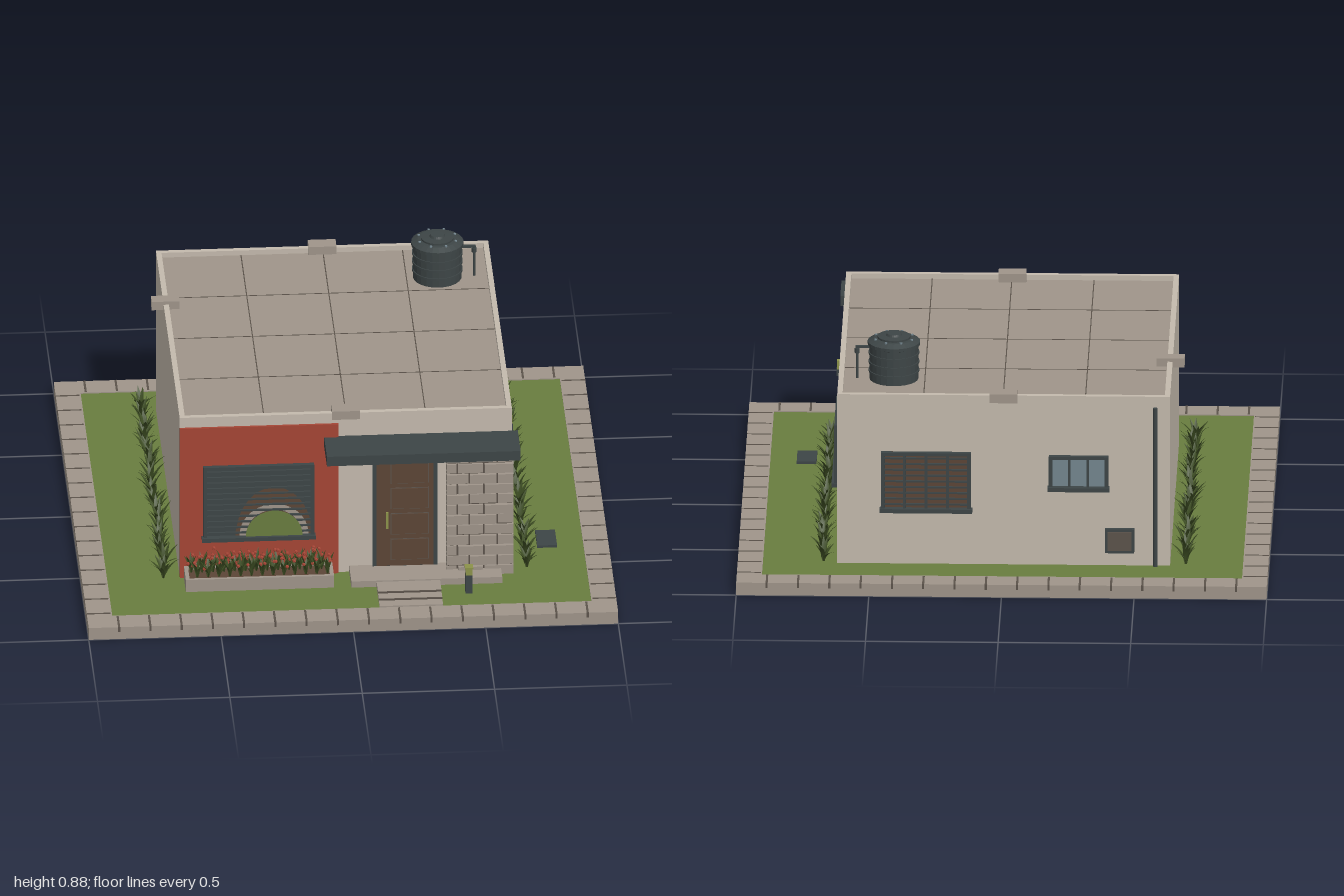
import * as THREE from 'three';
import { mergeGeometries } from 'three/addons/utils/BufferGeometryUtils.js';

const paint = (name, color, side = THREE.FrontSide) => {
  const m = new THREE.MeshStandardMaterial({ color, side });
  m.name = name;
  return m;
};

export function createModel() {
  const wall = paint('plaster', 0xc4baad);
  const stone = paint('stone', 0x9f958a);
  const joint = paint('joint', 0x5c534b);
  const red = paint('red', 0xa54535);
  const slate = paint('slate', 0x3d4546);
  const brown = paint('brown', 0x5c4536);
  const grass = paint('grass', 0x697d3f);
  const leaf = paint('leaf', 0x3c4c22, THREE.DoubleSide);
  const glass = paint('glass', 0x74868f);
  const glow = paint('lampGlass', 0x8c934a);

  let seed = 7;
  const rand = (a, b) => {
    seed = (seed * 16807) % 2147483647;
    return a + (b - a) * seed / 2147483647;
  };

  const model = new THREE.Group();
  const group = (name, parent = model) => {
    const g = new THREE.Group();
    g.name = name;
    parent.add(g);
    return g;
  };
  const add = (parent, name, geo, mat, x = 0, y = 0, z = 0) => {
    const m = new THREE.Mesh(geo, mat);
    m.name = name;
    m.position.set(x, y, z);
    parent.add(m);
    return m;
  };
  // Box given by its lower and upper bounds
  const box = (parent, name, mat, x0, x1, y0, y1, z0, z1) =>
    add(parent, name, new THREE.BoxGeometry(x1 - x0, y1 - y0, z1 - z0), mat,
      (x0 + x1) / 2, (y0 + y1) / 2, (z0 + z1) / 2);
  const cyl = (parent, name, mat, r0, r1, h, x, y, z, n = 24) =>
    add(parent, name, new THREE.CylinderGeometry(r1, r0, h, n), mat, x, y + h / 2, z);

  // Plot: slab, lawn and kerb stones
  const plot = group('plot');
  box(plot, 'foundation', stone, -1, 1, 0, 0.042, -1, 1);
  box(plot, 'lawn', grass, -0.905, 0.905, 0.04, 0.046, -0.905, 0.905);
  for (let side = 0; side < 4; side++) {
    const kerb = group('kerb', plot);
    kerb.rotation.y = side * Math.PI / 2;
    box(kerb, 'kerbStones', stone, -1, 0.905, 0.04, 0.05, 0.905, 1);
    for (let i = 0; i < 16; i++) {
      const x = -0.885 + i * 0.118;
      box(kerb, 'kerbJoint', joint, x - 0.004, x + 0.004, 0.03, 0.051, 0.91, 1.0005);
    }
  }
  box(plot, 'drainCover', slate, 0.73, 0.805, 0.045, 0.056, 0.33, 0.455);

  // House body, parapet and roof panels
  const house = group('house');
  box(house, 'walls', wall, -0.63, 0.625, 0.04, 0.695, -0.76, 0.6);
  box(house, 'roof', stone, -0.61, 0.605, 0.69, 0.702, -0.74, 0.58);
  for (const [a, b] of [[-0.63, -0.61], [0.605, 0.625]])
    box(house, 'sideParapet', wall, a, b, 0.695, 0.722, -0.76, 0.6);
  for (const [a, b] of [[-0.76, -0.74], [0.58, 0.6]])
    box(house, 'endParapet', wall, -0.61, 0.605, 0.695, 0.722, a, b);
  for (const x of [-0.31, 0, 0.3])
    box(house, 'roofJoint', joint, x - 0.002, x + 0.002, 0.7, 0.703, -0.74, 0.58);
  for (const z of [-0.41, -0.08, 0.25])
    box(house, 'roofJoint', joint, -0.61, 0.605, 0.7, 0.703, z - 0.002, z + 0.002);
  box(house, 'redPanel', red, -0.63, -0.03, 0.045, 0.68, 0.6, 0.61);
  for (const b of [[-0.055, 0.05, 0.7, 0.735, 0.55, 0.612],
    [-0.055, 0.05, 0.7, 0.735, -0.785, -0.725], [-0.675, -0.57, 0.7, 0.735, -0.37, -0.32]])
    box(house, 'roofSpout', stone, ...b);

  // Window facing local +z, its bottom centre at the local origin
  const windowUnit = (name, w, h, panes, slats, backing, x, y, z, turn) => {
    const g = group(name, house);
    g.position.set(x, y, z);
    g.rotation.y = turn;
    box(g, 'pane', backing, -w / 2, w / 2, 0, h, 0, 0.006);
    for (const s of [-1, 1])
      box(g, 'jamb', slate, s * w / 2 - 0.007, s * w / 2 + 0.007, 0, h, 0, 0.02);
    box(g, 'head', slate, -w / 2, w / 2, h - 0.012, h, 0, 0.02);
    box(g, 'sill', slate, -w / 2 - 0.012, w / 2 + 0.012, -0.008, 0.008, 0, 0.03);
    for (let i = 1; i < panes; i++) {
      const px = -w / 2 + i * w / panes;
      box(g, 'mullion', slate, px - 0.005, px + 0.005, 0, h, 0, 0.018);
    }
    for (let i = 1; i <= slats; i++) {
      const sy = i * h / (slats + 1);
      box(g, 'slat', slate, -w / 2, w / 2, sy - 0.003, sy + 0.003, 0.01, 0.018);
    }
    return g;
  };
  const front = windowUnit('frontWindow', 0.405, 0.305, 1, 12, slate, -0.333, 0.215, 0.608, 0);
  // Arched picture behind the slats
  const arch = (name, mat, r0, r1, z) => {
    const s = new THREE.Shape();
    s.absarc(0, 0, r1, 0, Math.PI);
    if (r0) s.absarc(0, 0, r0, Math.PI, 0, true);
    add(front, name, new THREE.ShapeGeometry(s, 24), mat, 0.058, 0.008, z);
  };
  arch('archSurround', brown, 0.128, 0.142, 0.0075);
  arch('archCrown', brown, 0.142, 0.146, 0.0078);
  const halo = new THREE.Shape();
  halo.absellipse(0, 0, 0.143, 0.2, 0, Math.PI);
  add(front, 'archBackdrop', new THREE.ShapeGeometry(halo, 24), brown, 0.058, 0.008, 0.007);
  arch('archStones', stone, 0.105, 0.13, 0.0085);
  arch('archOpening', grass, 0, 0.107, 0.0188);

  windowUnit('sideWindow', 0.31, 0.24, 3, 0, glass, 0.624, 0.25, -0.302, Math.PI / 2);
  windowUnit('rearWindow', 0.325, 0.23, 4, 9, brown, 0.29, 0.265, -0.759, Math.PI);
  windowUnit('smallRearWindow', 0.21, 0.13, 3, 0, glass, -0.285, 0.355, -0.759, Math.PI);

  // Rear meter box and downpipe
  box(house, 'meterBox', slate, -0.495, -0.385, 0.1, 0.195, -0.778, -0.76);
  box(house, 'meterDoor', joint, -0.485, -0.395, 0.11, 0.185, -0.781, -0.777);
  cyl(house, 'downpipe', slate, 0.009, 0.009, 0.635, -0.575, 0.045, -0.77, 10);

  // Door with frame, panels and handle
  const door = group('door');
  box(door, 'doorFrame', slate, 0.098, 0.342, 0.07, 0.552, 0.598, 0.612);
  box(door, 'doorLeaf', brown, 0.112, 0.328, 0.075, 0.538, 0.605, 0.617);
  for (let i = 0; i < 4; i++) {
    const y = 0.1 + i * 0.108;
    box(door, 'panelGroove', joint, 0.165, 0.31, y, y + 0.09, 0.616, 0.618);
    box(door, 'doorPanel', brown, 0.168, 0.307, y + 0.003, y + 0.087, 0.616, 0.621);
  }
  box(door, 'handle', glow, 0.147, 0.156, 0.24, 0.31, 0.628, 0.635);
  for (const y of [0.25, 0.295]) box(door, 'handleStem', glow, 0.148, 0.155, y, y + 0.008, 0.615, 0.63);

  // Stone pillar in staggered courses
  const pillar = group('stonePillar');
  box(pillar, 'mortarCore', joint, 0.378, 0.622, 0.045, 0.565, 0.6, 0.652);
  const rows = 12, rowH = 0.52 / rows;
  for (let r = 0; r < rows; r++) {
    const cut = r % 2 ? [0.375, 0.46, 0.565, 0.627] : [0.375, 0.415, 0.515, 0.627];
    for (let i = 0; i < 3; i++)
      box(pillar, 'pillarStone', stone, cut[i] + (i ? 0.003 : 0), cut[i + 1] - (i < 2 ? 0.003 : 0),
        0.045 + r * rowH + 0.003, 0.045 + (r + 1) * rowH - 0.003, 0.6, rand(0.656, 0.668));
  }

  // Canopy with brackets and a hanging lamp
  const canopy = group('canopy');
  box(canopy, 'canopySlab', slate, -0.085, 0.647, 0.585, 0.625, 0.598, 0.767);
  for (const x of [0.045, 0.535]) {
    box(canopy, 'bracketPost', slate, x - 0.005, x + 0.005, 0.525, 0.585, 0.6, 0.612);
    const arm = box(canopy, 'bracketArm', slate, x - 0.004, x + 0.004, 0.551, 0.559, 0.6, 0.69);
    arm.rotation.x = -0.55;
  }
  box(canopy, 'porchLampCap', slate, 0.207, 0.233, 0.565, 0.587, 0.615, 0.645);
  box(canopy, 'porchLamp', glow, 0.209, 0.231, 0.525, 0.565, 0.617, 0.643);

  // Porch and steps
  const porch = group('porch');
  box(porch, 'porchSlab', stone, 0.01, 0.58, 0.045, 0.072, 0.6, 0.73);
  for (let i = 0; i < 3; i++)
    box(porch, 'step', stone, 0.105, 0.345, 0.04, 0.067 - i * 0.006, 0.73, 0.81 + i * 0.047);
  for (let i = 0; i < 2; i++)
    box(porch, 'stepEdge', joint, 0.105, 0.345, 0.06 - i * 0.006, 0.0675 - i * 0.006, 0.809 + i * 0.047, 0.813 + i * 0.047);

  // Wall lamp and garden lamp
  const lamps = group('lamps');
  box(lamps, 'wallLampBase', slate, 0.624, 0.652, 0.44, 0.466, 0.22, 0.246);
  box(lamps, 'wallLampGlass', glow, 0.624, 0.65, 0.466, 0.5, 0.221, 0.245);
  box(lamps, 'gardenLampPost', slate, 0.436, 0.463, 0.045, 0.122, 0.78, 0.807);
  box(lamps, 'gardenLampGlass', glow, 0.437, 0.462, 0.122, 0.15, 0.781, 0.806);
  box(lamps, 'gardenLampCap', glow, 0.434, 0.465, 0.15, 0.156, 0.778, 0.809);

  // Ribbed water tank with bolted lid and overflow pipe
  const tank = group('waterTank');
  tank.position.set(0.417, 0.702, -0.52);
  const profile = [[0, 0], [0.092, 0], [0.092, 0.135], [0.099, 0.138], [0.099, 0.15], [0.075, 0.162],
    [0.062, 0.163], [0.062, 0.17], [0.03, 0.172], [0.026, 0.18], [0, 0.18]];
  const shell = new THREE.LatheGeometry(profile.map(p => new THREE.Vector2(...p)), 24).toNonIndexed();
  shell.computeVertexNormals();
  add(tank, 'tankShell', shell, slate);
  for (const y of [0.03, 0.065, 0.1]) cyl(tank, 'tankRib', slate, 0.096, 0.096, 0.008, 0, y, 0);
  for (let i = 0; i < 8; i++) {
    const a = (i + 0.5) * Math.PI / 4;
    cyl(tank, 'lidBolt', glass, 0.005, 0.005, 0.006, Math.cos(a) * 0.074, 0.16, Math.sin(a) * 0.074, 8);
  }
  box(tank, 'overflowArm', slate, 0.09, 0.145, 0.12, 0.129, -0.005, 0.005);
  cyl(tank, 'overflowPipe', slate, 0.005, 0.005, 0.129, 0.139, 0, 0, 8);
  cyl(tank, 'pipeJoint', slate, 0.009, 0.009, 0.018, 0.139, 0.1, 0, 8);

  // Curved tapering blade, rooted at the origin and leaning to +x
  const blade = (len, lean, width) => {
    const g = new THREE.PlaneGeometry(width, 1, 2, 4);
    const p = g.attributes.position;
    for (let i = 0; i < p.count; i++) {
      const t = p.getY(i) + 0.5, w = p.getX(i) * Math.min(1, 0.5 + 2 * t) * (1 - t ** 3);
      p.setXYZ(i, lean * t ** 1.6, len * (t - 0.25 * lean / len * t * t) + Math.abs(w) * 0.3, w);
    }
    g.computeVertexNormals();
    return g;
  };
  const tuft = (x, y, z, n, height, spread, width) => {
    const blades = [];
    const start = rand(0, 6);
    for (let i = 0; i < n; i++) {
      const g = blade(height * rand(0.65, 1.1), spread * rand(0.5, 1.1), width);
      blades.push(g.rotateY(start + i * 2.4).translate(x, y, z));
    }
    return mergeGeometries(blades);
  };

  // Plant rows along both side walls
  for (const x of [-0.688, 0.682]) {
    const row = [];
    for (let i = 0; i < 17; i++)
      row.push(tuft(x + rand(-0.006, 0.006), 0.045, -0.74 + i * 0.084, 10, 0.1, 0.056, 0.018));
    add(model, 'plantRow', mergeGeometries(row), leaf);
  }

  // Planter with red flowers
  const planter = group('planter');
  for (const [a, b] of [[0.61, 0.622], [0.712, 0.725]])
    box(planter, 'planterSide', stone, -0.615, -0.055, 0.045, 0.097, a, b);
  for (const [a, b] of [[-0.615, -0.6], [-0.07, -0.055]])
    box(planter, 'planterEnd', stone, a, b, 0.045, 0.097, 0.622, 0.712);
  box(planter, 'soil', brown, -0.6, -0.07, 0.045, 0.088, 0.622, 0.712);
  const shrubs = [], blooms = [];
  for (let i = 0; i < 26; i++) {
    const x = -0.59 + i * 0.0205, z = 0.667 + (i % 2 ? 0.02 : -0.02);
    shrubs.push(tuft(x, 0.086, z, 8, 0.088, 0.034, 0.015));
    for (let k = 0; k < 3; k++)
      blooms.push(new THREE.IcosahedronGeometry(0.0075, 0)
        .translate(x + rand(-0.015, 0.015), rand(0.125, 0.182), z + rand(-0.025, 0.025)));
  }
  add(planter, 'flowerLeaves', mergeGeometries(shrubs), leaf);
  add(planter, 'flowers', mergeGeometries(blooms), red);

  return model;
}
